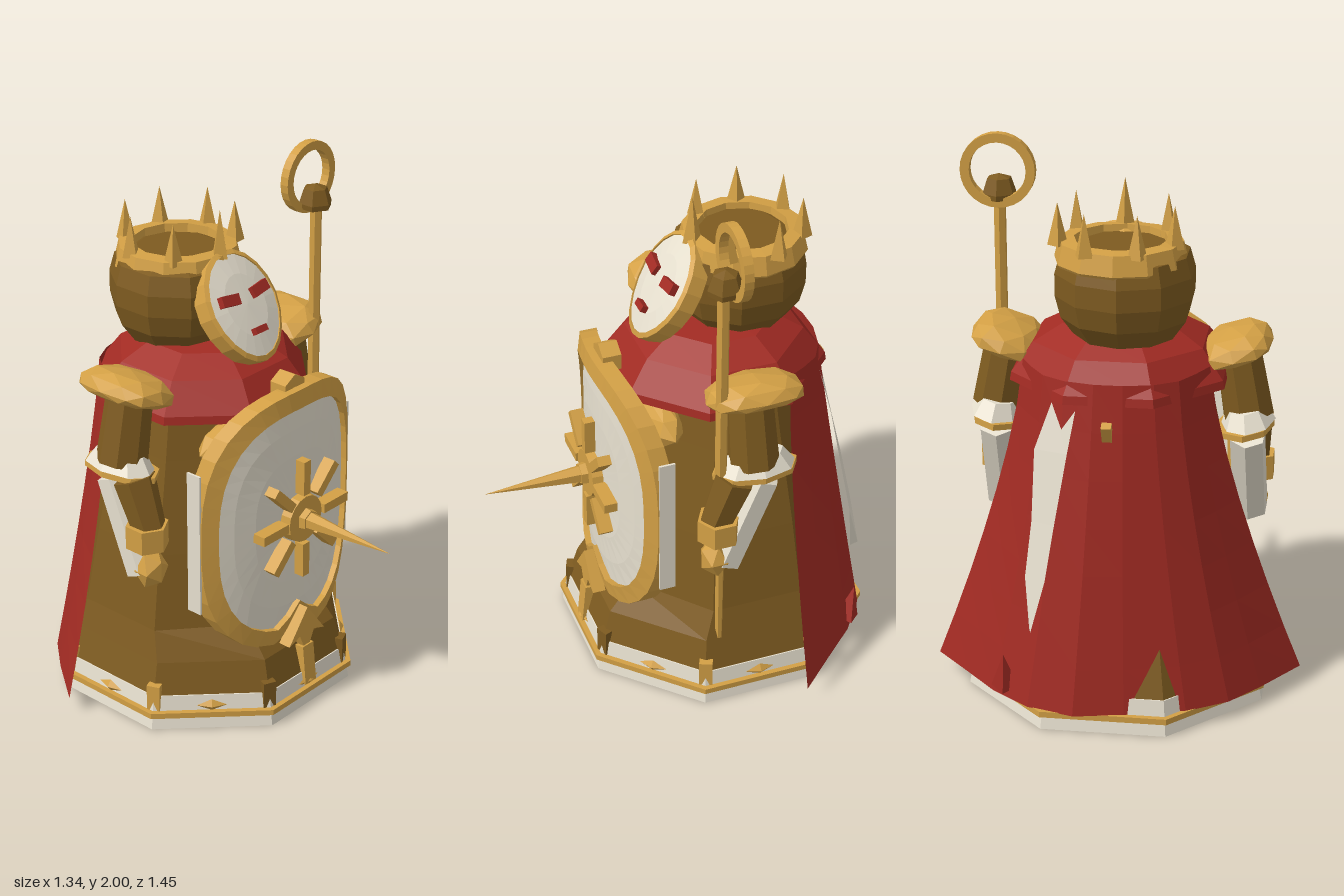
import * as THREE from 'three';

const mat = (name, color) => {
  const m = new THREE.MeshStandardMaterial({ color, flatShading: true, side: THREE.DoubleSide });
  m.name = name;
  return m;
};

export function createModel() {
  const gold = mat('gold', 0xd3a045), bronze = mat('bronze', 0x7e5b20);
  const ivory = mat('ivory', 0xe8e1d0), red = mat('red', 0xa22b23);
  const root = new THREE.Group();
  const CZ = -0.165; // body axis
  const V = (x, y, z) => new THREE.Vector3(x, y, z);

  const add = (name, geo, m, p = [0, 0, 0], r = [0, 0, 0], parent = root) => {
    const mesh = new THREE.Mesh(geo, m);
    mesh.name = name;
    mesh.position.set(...p);
    mesh.rotation.set(...r);
    parent.add(mesh);
    return mesh;
  };
  const box = (w, h, d) => new THREE.BoxGeometry(w, h, d);
  const lathe = (pts, n) => new THREE.LatheGeometry(pts.map(([x, y]) => new THREE.Vector2(x, y)), n);
  // octagonal lathe with flat front, radii measured to the flats
  const octagon = (pts) => lathe(pts.map(([r, y]) => [r / Math.cos(Math.PI / 8), y]), 8).rotateY(Math.PI / 8);
  // tapered limb between two points
  const limb = (name, a, b, ra, rb, n, m) => {
    const mesh = add(name, new THREE.CylinderGeometry(rb, ra, a.distanceTo(b), n), m);
    mesh.position.copy(a).lerp(b, 0.5);
    mesh.quaternion.setFromUnitVectors(V(0, 1, 0), b.clone().sub(a).normalize());
    return mesh;
  };

  // Plinth
  add('plinth', octagon([[0, 0], [0.54, 0], [0.53, 0.05], [0, 0.05]]), ivory, [0, 0, CZ]);
  add('plinthTrim', octagon([[0.4, 0.05], [0.547, 0.05], [0.547, 0.072], [0.4, 0.072]]), gold, [0, 0, CZ]);
  add('robeHem', octagon([[0.528, 0.07], [0.518, 0.13], [0.4, 0.13]]), ivory, [0, 0, CZ]);

  // Robe, drawn in at the front above the skirt so it clears the shield
  const robe = octagon([[0.515, 0.125], [0.48, 0.25], [0.45, 0.36], [0.4, 0.65], [0.33, 1.0], [0.28, 1.28], [0, 1.3]]);
  const rp = robe.attributes.position;
  for (let i = 0; i < rp.count; i++) if (rp.getY(i) > 0.3 && rp.getZ(i) > 0) rp.setZ(i, rp.getZ(i) * 0.86);
  add('robe', robe, bronze, [0, 0, CZ]);

  // Hem ornaments around the front and sides
  for (let i = -3; i <= 2; i++) {
    const a = (i + 0.5) * Math.PI / 4;
    add('hemClip', box(0.05, 0.11, 0.03), Math.abs(i + 0.5) < 1 ? bronze : gold,
      [0.55 * Math.sin(a), 0.12, CZ + 0.55 * Math.cos(a)], [0, a, 0]);
  }
  for (let i = -2; i <= 2; i++) {
    const b = i * Math.PI / 4;
    const stud = add('hemStud', new THREE.OctahedronGeometry(0.035), gold,
      [0.525 * Math.sin(b), 0.09, CZ + 0.525 * Math.cos(b)], [0, b, 0]);
    stud.scale.set(1.6, 0.7, 0.5);
  }

  // Front pendant beneath the shield
  add('pendant', box(0.06, 0.16, 0.04), gold, [0, 0.16, 0.345], [-0.1, 0, 0]);
  const wing = new THREE.Shape([[0, 0.4], [0.1, 0.27], [0.04, 0.29], [0, 0.2], [-0.04, 0.29], [-0.1, 0.27]]
    .map(([x, y]) => new THREE.Vector2(x, y)));
  add('pendantWings', new THREE.ExtrudeGeometry(wing, { depth: 0.05, bevelEnabled: false }), gold, [0, 0, 0.3]);

  // Mantle and chest plate
  add('mantle', octagon([[0.35, 1.17], [0.38, 1.175], [0.375, 1.205], [0.3, 1.31], [0.2, 1.37], [0, 1.38]]), red, [0, 0, CZ]);
  const chest = add('chestPlate', new THREE.IcosahedronGeometry(1, 1), gold, [0, 1.055, 0.09]);
  chest.scale.set(0.3, 0.105, 0.085);

  // Cape lofted from an upper arc to a flared hem
  const topArc = new THREE.CatmullRomCurve3([V(-0.33, 1.26, -0.33), V(-0.22, 1.25, -0.48), V(0, 1.25, -0.54), V(0.22, 1.25, -0.48), V(0.33, 1.26, -0.33)]);
  const hemArc = new THREE.CatmullRomCurve3([V(-0.67, 0.07, -0.24), V(-0.5, 0.07, -0.47), V(-0.37, 0.07, -0.6), V(-0.1, 0.07, -0.69), V(0.13, 0.07, -0.725), V(0.34, 0.07, -0.64), V(0.5, 0.07, -0.48), V(0.67, 0.07, -0.3)]);
  const cape = new THREE.PlaneGeometry(1, 1, 9, 7), cp = cape.attributes.position;
  for (let i = 0; i < cp.count; i++) {
    const u = cp.getX(i) + 0.5, t = 0.5 - cp.getY(i);
    const a = topArc.getPoint(u), b = hemArc.getPoint(u);
    cp.setXYZ(i, a.x + (b.x - a.x) * Math.pow(t, 1.35), a.y + (b.y - a.y) * t, a.z + (b.z - a.z) * t);
  }
  cape.computeVertexNormals();
  add('cape', cape, red);

  // Pale streak on the back of the cape, with clasp and fold
  const streak = [[0.11, 0.2, 1.17, -0.535], [0.14, 0.26, 1.0, -0.565], [0.18, 0.265, 0.75, -0.615], [0.21, 0.285, 0.55, -0.65], [0.26, 0.27, 0.36, -0.67]];
  const strip = new THREE.PlaneGeometry(1, 1, 1, 4), sp = strip.attributes.position;
  streak.forEach(([x0, x1, y, z], i) => {
    sp.setXYZ(2 * i, x0, y, z);
    sp.setXYZ(2 * i + 1, x1, y, z + 0.035);
  });
  strip.computeVertexNormals();
  add('capeStreak', strip, ivory);
  add('capeClasp', box(0.035, 0.07, 0.03), gold, [0, 1.09, -0.57], [-0.5, 0, 0]);
  add('capeFold', new THREE.ConeGeometry(0.05, 0.14, 4), red, [0.37, 0.17, -0.6], [-0.2, 0, 0]);

  // Squared-off dome with a shallow underside
  const dome = new THREE.IcosahedronGeometry(1, 1), dp = dome.attributes.position;
  const swell = (v) => Math.sign(v) * Math.pow(Math.abs(v), 0.75);
  for (let i = 0; i < dp.count; i++) {
    const y = dp.getY(i);
    dp.setXYZ(i, swell(dp.getX(i)) * 0.135, y * (y > 0 ? 0.08 : 0.04), swell(dp.getZ(i)) * 0.18);
  }
  dome.computeVertexNormals();

  // Pauldrons, arms and hands
  for (const s of [-1, 1]) {
    add('pauldron', dome, gold, [s * 0.41, 1.275, -0.16], [0, 0, s * 0.3]);
    limb('upperArm', V(s * 0.41, 1.28, -0.14), V(s * 0.455, 1.02, -0.145), 0.085, 0.095, 8, bronze);
    const cuff = add('sleeveCuff', new THREE.CylinderGeometry(0.07, 0.1, 0.06, 8), ivory, [s * 0.45, 1.025, -0.155], [0, 0, s * 0.15]);
    cuff.scale.z = 1.5;
    const plate = add('elbowPlate', new THREE.CylinderGeometry(0.104, 0.104, 0.022, 8), gold, [s * 0.445, 0.985, -0.155], [0, 0, s * 0.1]);
    plate.scale.z = 1.55;
    limb('forearm', V(s * 0.47, 0.98, -0.07), V(s * 0.47, 0.8, 0.0), 0.078, 0.062, 6, bronze);
    limb('hangingSleeve', V(s * 0.455, 0.95, -0.18), V(s * 0.46, 0.61, -0.035), 0.068, 0.068, 6, ivory);
    add('wristBand', new THREE.CylinderGeometry(0.08, 0.08, 0.09, 6), gold, [s * 0.472, 0.775, -0.01]);
    const hand = add('hand', new THREE.IcosahedronGeometry(0.07, 0), gold, [s * 0.465, 0.635, 0]);
    hand.scale.set(0.95, 1.1, 0.85);
  }

  // Staff
  add('staffShaft', new THREE.CylinderGeometry(0.023, 0.023, 0.86, 6), gold, [0.46, 1.33, -0.02]);
  add('staffLowerShaft', new THREE.CylinderGeometry(0.018, 0.014, 0.68, 6), gold, [0.468, 0.59, -0.018]);
  add('staffHead', lathe([[0, 1.74], [0.062, 1.755], [0.064, 1.775], [0.045, 1.83], [0, 1.845]], 6), bronze, [0.46, 0, -0.025]);
  const ring = lathe([[0.102, -0.017], [0.135, -0.017], [0.135, 0.017], [0.102, 0.017], [0.102, -0.017]], 28).rotateX(Math.PI / 2);
  add('staffRing', ring, gold, [0.457, 1.866, -0.058]);

  // Helmet and crown
  add('helmet', lathe([[0, 1.34], [0.18, 1.35], [0.23, 1.42], [0.25, 1.5], [0.25, 1.58], [0.23, 1.65], [0.16, 1.675], [0, 1.675]], 10), bronze, [-0.025, 0, -0.265]);
  add('crownBand', lathe([[0.228, 1.615], [0.235, 1.625], [0.218, 1.695], [0.165, 1.7], [0.16, 1.65]], 12), gold, [-0.012, 0, -0.275]);
  for (let i = 0; i < 7; i++) {
    const a = i * Math.PI * 2 / 7, h = i ? 0.15 : 0.18;
    add('crownSpike', new THREE.ConeGeometry(0.036, h, 4), gold, [0.208 * Math.sin(a), 1.68 + h / 2, -0.28 + 0.2 * Math.cos(a)], [0, a, 0]);
  }

  // Tilted face mask
  const face = new THREE.Group();
  face.name = 'face';
  face.position.set(0, 1.52, 0.025);
  face.rotation.x = -0.55;
  root.add(face);
  const oval = (g) => {
    g.rotateX(Math.PI / 2).scale(0.174, 0.212, 1);
    const q = g.attributes.position;
    for (let i = 0; i < q.count; i++) if (q.getY(i) < 0) q.setX(i, q.getX(i) * (1 + q.getY(i) * 0.5));
    g.computeVertexNormals();
    return g;
  };
  add('faceRim', oval(lathe([[0.88, -0.05], [1, -0.05], [1, 0.012], [0.91, 0.02], [0.88, -0.05]], 20)), gold, [0, 0, 0], [0, 0, 0], face);
  add('faceMask', oval(lathe([[0, -0.04], [0.91, -0.04], [0.91, 0.014], [0.55, 0.026], [0, 0.03]], 20)), ivory, [0, 0, 0], [0, 0, 0], face);
  for (const s of [-1, 1]) add('eye', box(0.085, 0.04, 0.035), red, [s * 0.078, 0.035, 0.028], [0, 0, s * 0.14], face);
  add('mouth', box(0.06, 0.024, 0.04), red, [0, -0.1, 0.03], [0, 0, 0], face);

  // Shield: round profiles squared off, notched at the foot and bent around the body
  const shieldPart = (name, pts, m) => {
    const g = lathe(pts, 40).rotateX(Math.PI / 2), q = g.attributes.position, n = 2.7;
    for (let i = 0; i < q.count; i++) {
      const r = Math.hypot(q.getX(i), q.getY(i)), t = Math.atan2(q.getY(i), q.getX(i));
      const f = r * Math.pow(Math.abs(Math.cos(t)) ** n + Math.abs(Math.sin(t)) ** n, -1 / n);
      const x = 0.41 * f * Math.cos(t);
      let y = 0.51 * f * Math.sin(t);
      if (y < -0.38 && Math.abs(x) < 0.1) y += 0.09 * (1 - Math.abs(x) / 0.1);
      q.setXYZ(i, x, y + 0.77, q.getZ(i) - 0.65 * x * x);
    }
    g.computeVertexNormals();
    add(name, g, m);
  };
  shieldPart('shieldPlate', [[0, 0.245], [0.4, 0.245], [0.7, 0.245], [0.9, 0.245], [0.9, 0.29], [0.7, 0.297], [0.5, 0.3], [0.25, 0.3], [0, 0.3]], ivory);
  shieldPart('shieldRim', [[0.87, 0.24], [1.0, 0.24], [1.0, 0.305], [0.87, 0.315], [0.87, 0.24]], gold);
  for (const s of [-1, 1]) add('shieldSideInlay', box(0.009, 0.56, 0.06), ivory, [s * 0.409, 0.77, 0.162]);
  add('shieldTab', new THREE.CylinderGeometry(0.06, 0.06, 0.07, 6), gold, [0, 1.27, 0.24], [Math.PI / 2, 0, 0]);

  // Sun emblem with long central spike
  add('sunDisc', new THREE.CylinderGeometry(0.09, 0.095, 0.04, 16), gold, [0, 0.77, 0.315], [Math.PI / 2, 0, 0]);
  add('sunHub', new THREE.CylinderGeometry(0.04, 0.045, 0.03, 6), gold, [0, 0.77, 0.345], [Math.PI / 2, 0, 0]);
  add('shieldSpike', new THREE.ConeGeometry(0.036, 0.39, 6), gold, [0, 0.77, 0.53], [Math.PI / 2, 0, 0]);
  for (let i = 0; i < 8; i++) {
    const a = i * Math.PI / 4;
    add('sunRay', box(0.036, 0.135, 0.05), gold, [0.168 * Math.sin(a), 0.77 + 0.168 * Math.cos(a), 0.315], [0, 0, -a]);
  }
  return root;
}
